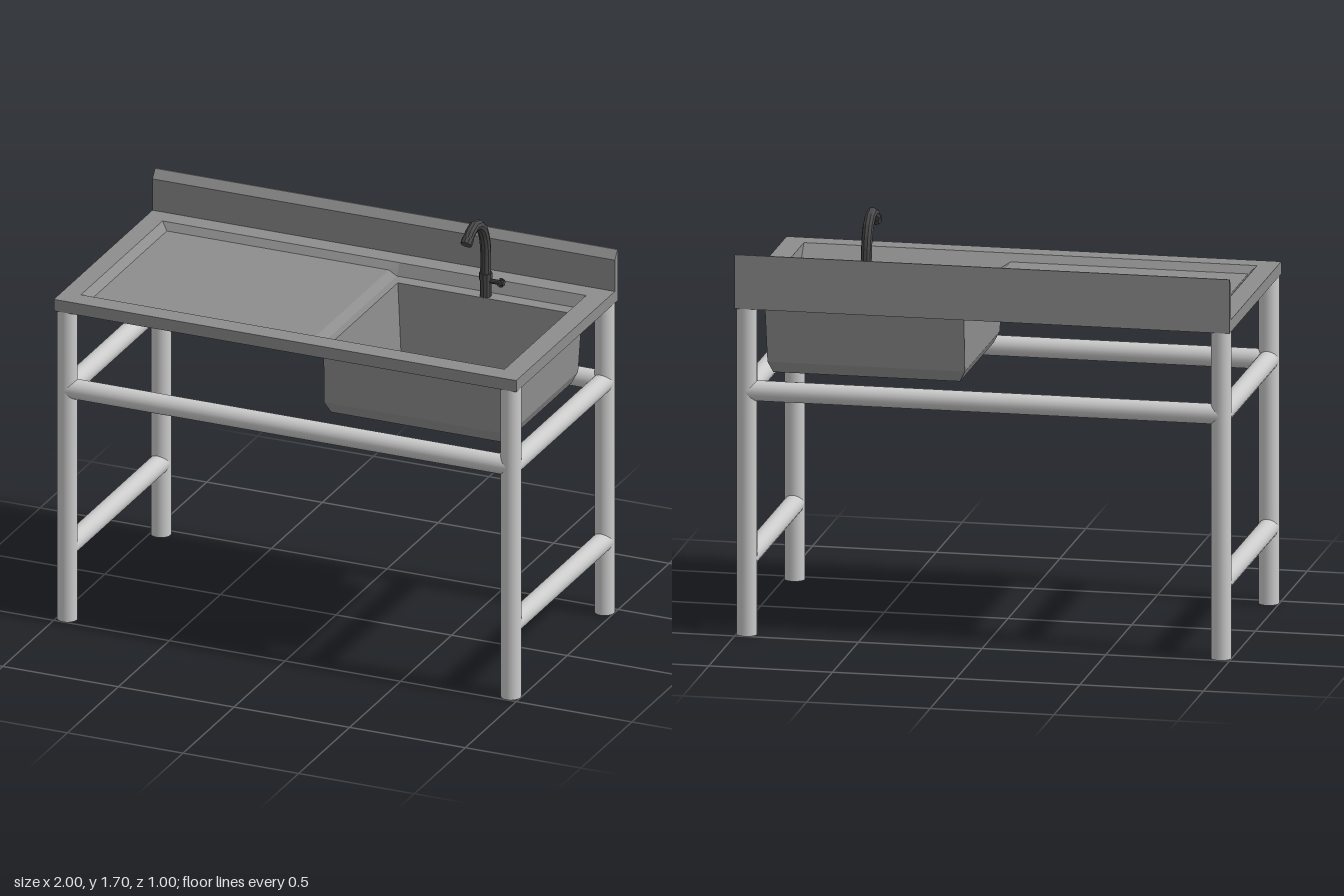
import * as THREE from 'three';

const steel = new THREE.MeshStandardMaterial({ color: 0x8d8d8d, side: THREE.DoubleSide });
const pipe = new THREE.MeshStandardMaterial({ color: 0xbcbcbc });
const dark = new THREE.MeshStandardMaterial({ color: 0x484848, flatShading: true });

// Rectangular ring of four corners, counter-clockwise seen from above
const ring = (x0, x1, z0, z1, y) => [[x0, y, z1], [x1, y, z1], [x1, y, z0], [x0, y, z0]];

// Four-sided walls joining consecutive rings
function loft(rings) {
  const quads = [];
  for (let r = 0; r + 1 < rings.length; r++) {
    for (let i = 0; i < 4; i++) {
      const j = (i + 1) % 4;
      quads.push([rings[r][i], rings[r][j], rings[r + 1][j], rings[r + 1][i]]);
    }
  }
  return quads;
}

// Flat-faced geometry from convex polygons
function polygons(list) {
  const pos = [];
  for (const p of list) {
    for (let i = 1; i + 1 < p.length; i++) pos.push(...p[0], ...p[i], ...p[i + 1]);
  }
  const g = new THREE.BufferGeometry();
  g.setAttribute('position', new THREE.Float32BufferAttribute(pos, 3));
  g.computeVertexNormals();
  return g;
}

function add(parent, name, geometry, material) {
  const mesh = new THREE.Mesh(geometry, material);
  mesh.name = name;
  parent.add(mesh);
  return mesh;
}

// Round bar between two points
function bar(parent, name, a, b, radius, material, sides, open = false) {
  const from = new THREE.Vector3(...a), to = new THREE.Vector3(...b);
  const dir = to.clone().sub(from);
  const geometry = new THREE.CylinderGeometry(radius, radius, dir.length(), sides, 1, open);
  const mesh = add(parent, name, geometry, material);
  mesh.position.copy(from).add(to).multiplyScalar(0.5);
  mesh.quaternion.setFromUnitVectors(new THREE.Vector3(0, 1, 0), dir.normalize());
}

function createFrame() {
  const frame = new THREE.Group();
  frame.name = 'frame';
  const X = 0.959, Z = 0.459, R = 0.041;
  // Open-ended pipes
  const tube = (name, a, b) => bar(frame, name, a, b, R, pipe, 20, true);
  for (const s of [-1, 1]) {
    for (const t of [-1, 1]) tube('leg', [s * X, 0, t * Z], [s * X, 1.336, t * Z]);
    tube('longRail', [-X, 0.995, s * Z], [X, 0.995, s * Z]);
    for (const y of [0.31, 0.995]) tube('sideRail', [s * X, y, -Z], [s * X, y, Z]);
  }
  return frame;
}

function createSink() {
  const sink = new THREE.Group();
  sink.name = 'sink';
  const top = 1.385, drain = 1.357, low = 1.337, under = 1.335;

  // Outer skin: basin underside, worktop underside, edge and top border
  const base = ring(0.13, 0.885, -0.305, 0.345, 1.035);
  const rim = ring(-0.92, 0.912, -0.385, 0.415, top);
  add(sink, 'worktop', polygons([
    [...base].reverse(),
    ...loft([base, ring(0.107, 0.905, -0.322, 0.36, 1.08), ring(0.105, 0.91, -0.352, 0.36, under),
      ring(-1, 1, -0.5, 0.5, under), ring(-1, 1, -0.5, 0.5, top), rim]),
  ]), steel);

  // Sunken drainboard and the slopes leading down to it and to the basin ledge
  const floor = ring(-0.89, 0.07, -0.36, 0.385, drain);
  const ledge = ring(0.105, 0.91, -0.36, 0.36, low);
  const front = [0.105, top, 0.415], back = [0.105, top, -0.385];
  add(sink, 'drainboard', polygons([
    floor,
    [rim[3], rim[0], floor[0], floor[3]],
    [rim[0], front, floor[1], floor[0]],
    [front, ledge[0], floor[1]],
    [front, rim[1], ledge[1], ledge[0]],
    [rim[1], rim[2], ledge[2], ledge[1]],
    [rim[2], back, ledge[3], ledge[2]],
    [back, floor[2], ledge[3]],
    [back, rim[3], floor[3], floor[2]],
    [floor[2], floor[1], ledge[0], ledge[3]],
  ]), steel);

  // Basin ledge, walls and floor
  const bottom = ring(0.155, 0.865, -0.285, 0.31, 1.05);
  add(sink, 'basin', polygons([
    ...loft([ledge, ring(0.135, 0.885, -0.3, 0.33, low), bottom]),
    bottom,
  ]), steel);

  // Backsplash with a sloping top edge
  const profile = new THREE.Shape([[0.5, 1.36], [0.467, 1.36], [0.467, 1.52], [0.493, 1.555], [0.5, 1.555]]
    .map(([d, y]) => new THREE.Vector2(d, y)));
  const splash = new THREE.ExtrudeGeometry(profile, { depth: 2, bevelEnabled: false });
  splash.rotateY(Math.PI / 2).translate(-1, 0, 0);
  add(sink, 'backsplash', splash, steel);
  return sink;
}

function createFaucet() {
  const faucet = new THREE.Group();
  faucet.name = 'faucet';
  const x = 0.505, z = -0.322, y = 1.405;
  const rod = (name, a, b, radius) => bar(faucet, name, a, b, radius, dark, 10);
  rod('faucetBase', [x, 1.335, z], [x, 1.41, z], 0.023);
  rod('faucetCollar', [x, 1.41, z], [x, 1.438, z], 0.027);

  // Curved spout
  const path = new THREE.CatmullRomCurve3([
    [-0.322, 1.43], [-0.322, 1.54], [-0.305, 1.61], [-0.27, 1.66],
    [-0.215, 1.681], [-0.165, 1.664], [-0.136, 1.638],
  ].map(([pz, py]) => new THREE.Vector3(x, py, pz)));
  add(faucet, 'spout', new THREE.TubeGeometry(path, 9, 0.022, 10), dark);
  rod('spoutTip', [x, 1.651, -0.15], [x, 1.633, -0.131], 0.024);

  // Side tap with a cross handle
  rod('tapStem', [x, y, z], [0.575, y, z], 0.01);
  rod('tapHandle', [0.572, y, z - 0.024], [0.572, y, z + 0.024], 0.007);
  rod('tapHandle', [0.572, y - 0.018, z], [0.572, y + 0.018, z], 0.007);
  rod('tapCap', [0.565, y, z], [0.585, y, z], 0.012);
  return faucet;
}

export function createModel() {
  const model = new THREE.Group();
  model.name = 'sinkTable';
  model.add(createFrame(), createSink(), createFaucet());
  return model;
}
